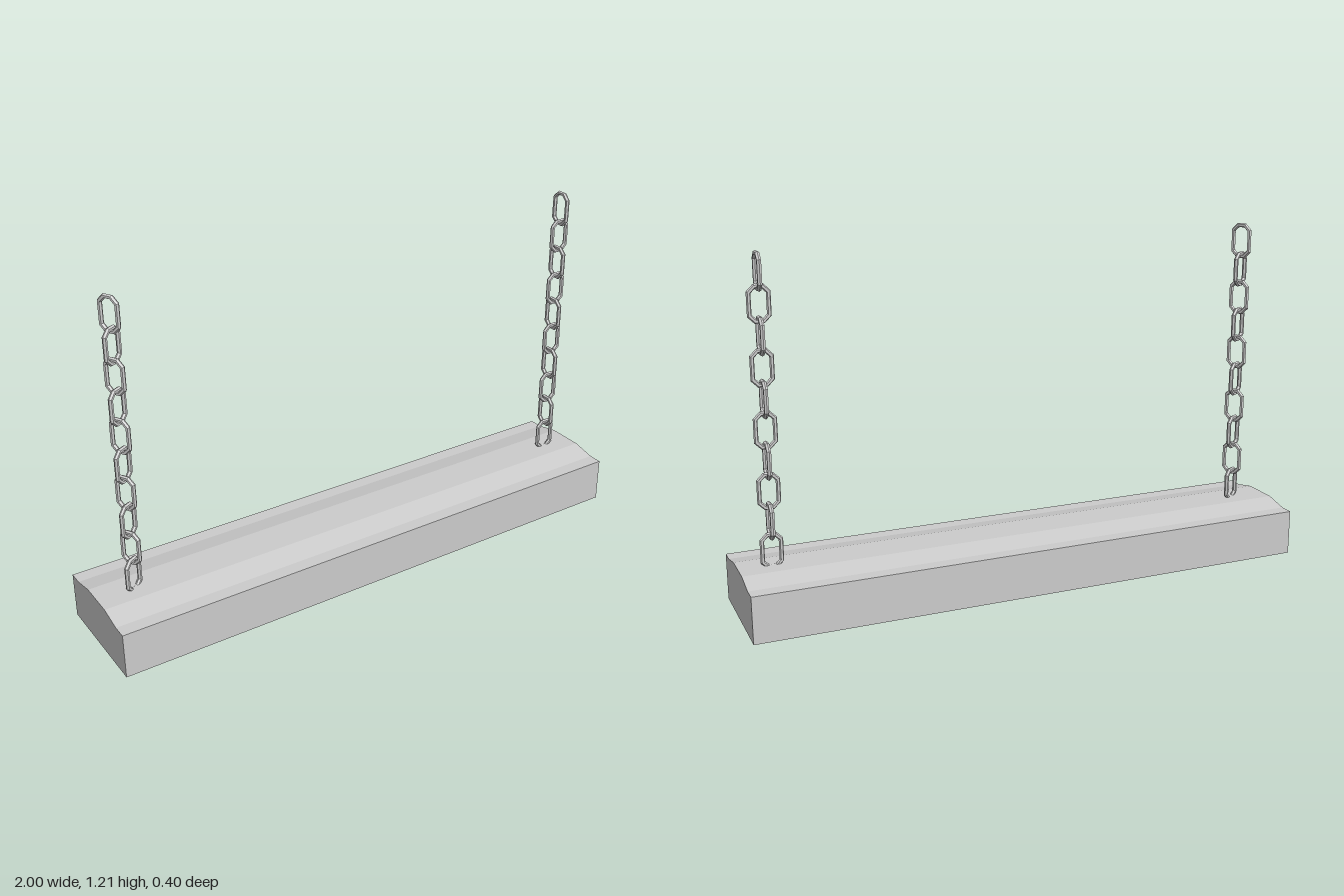
import * as THREE from 'three';

const grey = new THREE.MeshStandardMaterial({ color: 0xcccccc });
const sheet = new THREE.MeshStandardMaterial({ color: 0xcccccc, side: THREE.DoubleSide });
const flat = new THREE.MeshStandardMaterial({ color: 0xcccccc, flatShading: true });

function add(parent, name, geometry, material, x = 0, y = 0, z = 0) {
  const mesh = new THREE.Mesh(geometry, material);
  mesh.name = name;
  mesh.position.set(x, y, z);
  parent.add(mesh);
  return mesh;
}

// Cross-section of the sheet housing as (z, y), open at the bottom
const PROFILE = [
  [0.2, 0], [0.2, 0.162], [0.15, 0.162], [0.066, 0.18],
  [-0.066, 0.18], [-0.15, 0.162], [-0.2, 0.162], [-0.2, 0],
];

// Folded sheet swept along x, one flat panel per profile segment
function shellGeometry(halfLength) {
  const pos = [];
  for (let i = 0; i < PROFILE.length - 1; i++) {
    const [z0, y0] = PROFILE[i];
    const [z1, y1] = PROFILE[i + 1];
    const a = [-halfLength, y0, z0], b = [halfLength, y0, z0];
    const c = [halfLength, y1, z1], d = [-halfLength, y1, z1];
    pos.push(...a, ...b, ...c, ...a, ...c, ...d);
  }
  const g = new THREE.BufferGeometry();
  g.setAttribute('position', new THREE.Float32BufferAttribute(pos, 3));
  g.computeVertexNormals();
  return g;
}

// Eight-sided ring pulled apart into an oblong link
function linkGeometry() {
  const g = new THREE.TorusGeometry(0.034, 0.008, 6, 8);
  g.rotateZ(Math.PI / 8);
  const p = g.attributes.position;
  for (let i = 0; i < p.count; i++) p.setY(i, p.getY(i) + Math.sign(p.getY(i)) * 0.024);
  g.computeVertexNormals();
  return g;
}

function makeChain(name, x, turn) {
  const chain = new THREE.Group();
  chain.name = name;
  chain.position.x = x;
  chain.rotation.y = turn;
  const link = linkGeometry();
  for (let i = 0; i < 10; i++) {
    const mesh = add(chain, 'chainLink', link, flat, 0, 0.229 + i * 0.102, 0);
    mesh.rotation.y = (i % 2) * Math.PI / 2;
  }
  return chain;
}

export function createModel() {
  const model = new THREE.Group();
  model.name = 'hangingLightFixture';

  // Housing: folded shell and two end plates
  const housing = new THREE.Group();
  housing.name = 'housing';
  model.add(housing);
  add(housing, 'housingShell', shellGeometry(1), sheet);
  const outline = new THREE.Shape(PROFILE.map(([z, y]) => new THREE.Vector2(z, y)));
  const plate = new THREE.ShapeGeometry(outline);
  for (const side of [-1, 1]) {
    add(housing, 'endPlate', plate, sheet, side, 0, 0).rotation.y = side * Math.PI / 2;
  }

  // Round lamp sockets, a pair inside each end
  const socket = new THREE.CylinderGeometry(0.075, 0.075, 0.05, 24).rotateZ(Math.PI / 2);
  for (const side of [-1, 1]) {
    for (const z of [-0.1, 0.1]) add(model, 'lampSocket', socket, grey, side * 0.974, 0.08, z);
  }

  // Guard bars across the open underside
  const bar = new THREE.CylinderGeometry(0.009, 0.009, 0.398, 8).rotateX(Math.PI / 2);
  for (let i = 0; i < 12; i++) {
    add(model, 'guardBar', bar, grey, -0.91 + (i * 1.82) / 11, 0.01, 0);
  }

  // Suspension chains, the right one slightly twisted
  model.add(makeChain('leftChain', 0.885, 0));
  model.add(makeChain('rightChain', -0.865, 0.5));

  return model;
}
